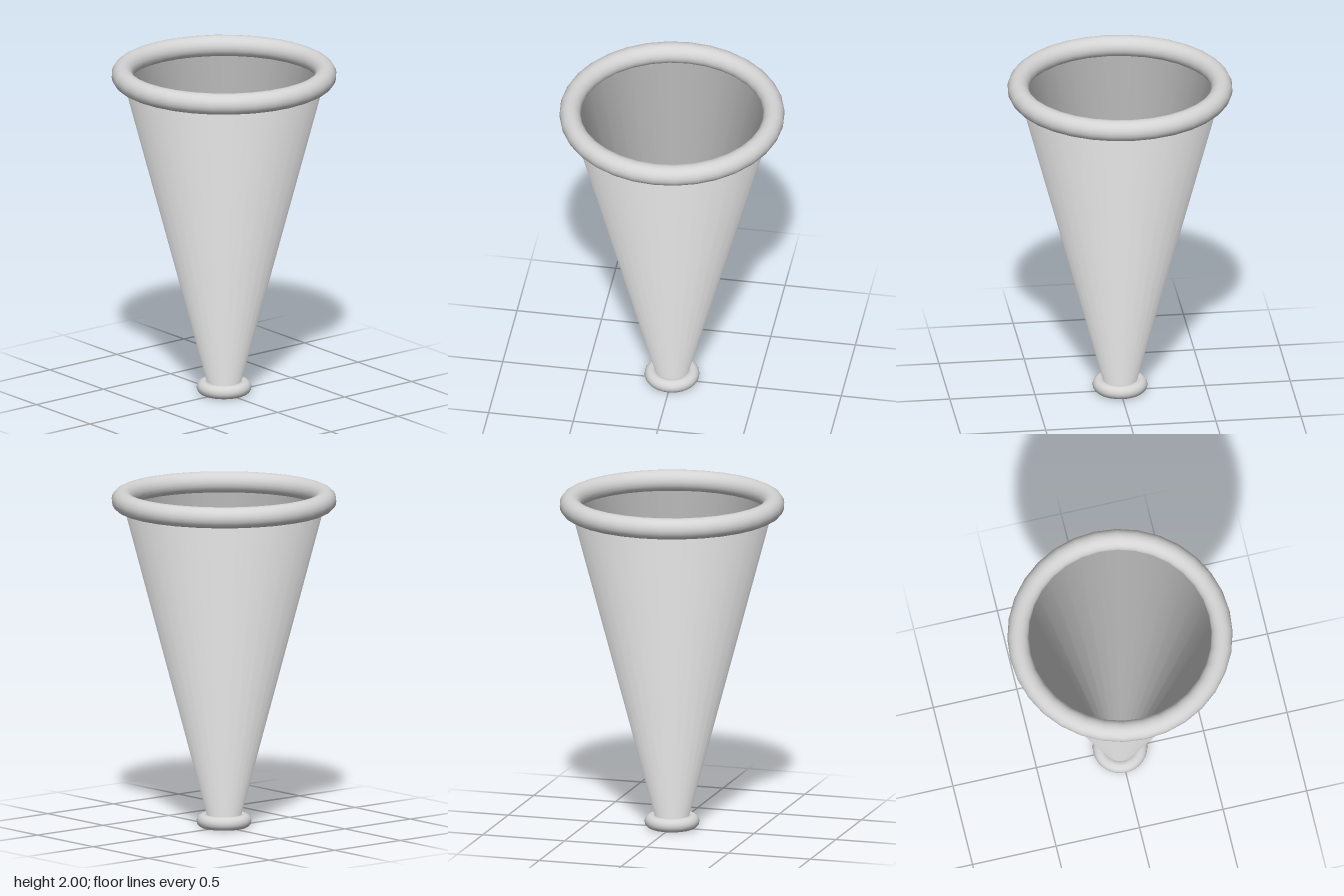
import * as THREE from 'three';

const SEGMENTS = 32;

export function createModel() {
  const model = new THREE.Group();
  model.name = 'openCone';

  const grey = new THREE.MeshStandardMaterial({ color: 0xd4d4d4 });
  grey.name = 'light grey';

  const add = (name, geometry, y) => {
    const mesh = new THREE.Mesh(geometry, grey);
    mesh.name = name;
    mesh.position.y = y;
    model.add(mesh);
  };

  // Rolled ring lying flat
  const ring = (radius, tube) =>
    new THREE.TorusGeometry(radius, tube, 20, SEGMENTS).rotateX(-Math.PI / 2);

  // Open tapered skin, wide end up: turning over the positions alone keeps the
  // normals tilted up and out, and leaves the faces looking inwards
  const bottom = 0.04, top = 1.938;
  const skin = (inset) => {
    const geometry = new THREE.CylinderGeometry(
      0.092 - inset, 0.595 - inset, top - bottom, SEGMENTS, 1, true);
    const position = geometry.attributes.position;
    for (let i = 0; i < position.count; i++) position.setY(i, -position.getY(i));
    return geometry;
  };

  // Cone wall: the outer skin has its corner order reversed to face outwards
  const outer = skin(0);
  outer.index.array.reverse();
  add('coneOuterWall', outer, (top + bottom) / 2);
  add('coneInnerWall', skin(0.003), (top + bottom) / 2);

  // Rims
  add('topRim', ring(0.595, 0.062), top);
  add('bottomRim', ring(0.12, 0.04), bottom);

  return model;
}
